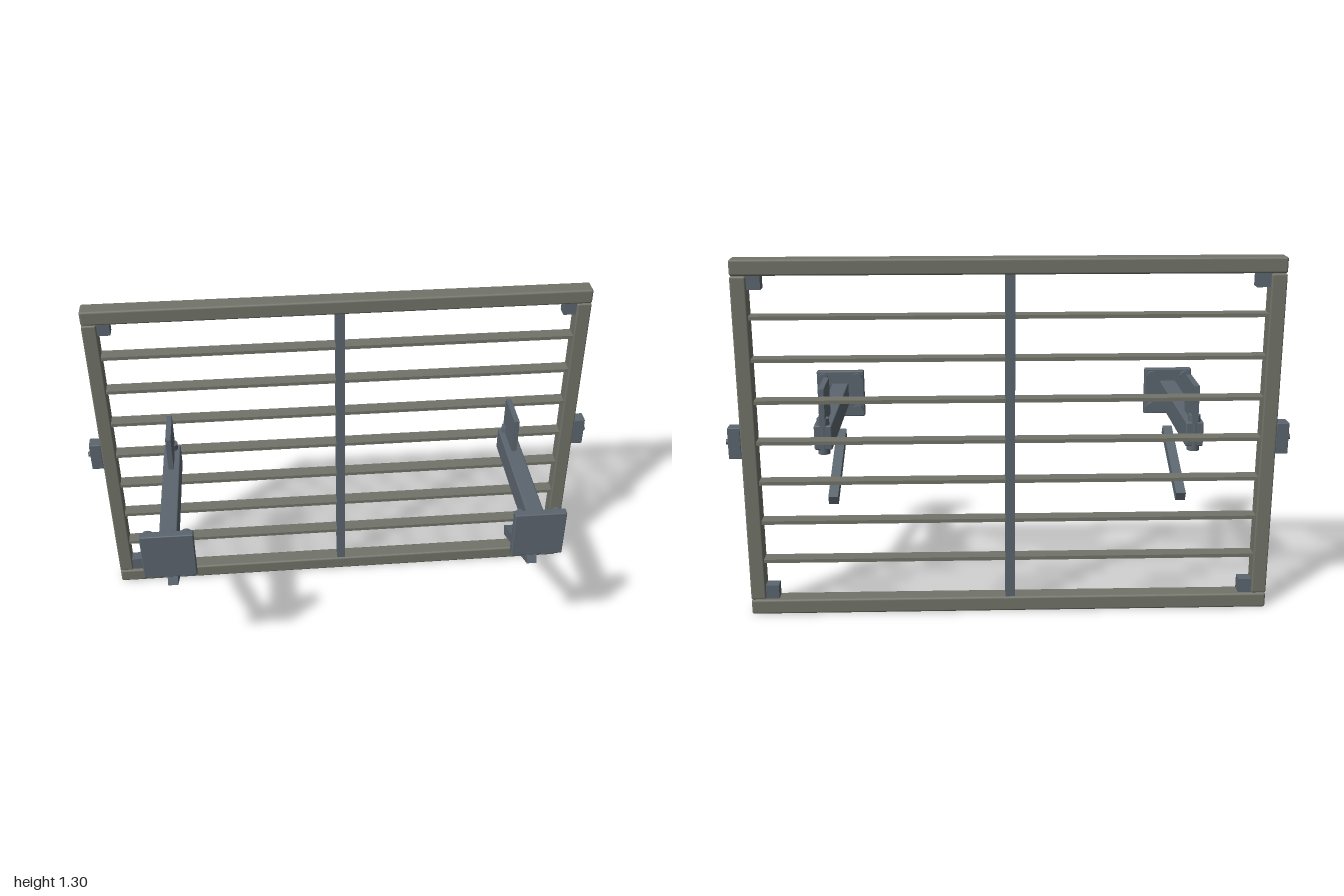
import * as THREE from 'three';
import { RoundedBoxGeometry } from 'three/addons/geometries/RoundedBoxGeometry.js';

export function createModel() {
  const model = new THREE.Group();
  model.name = 'louverScreen';
  const olive = new THREE.MeshStandardMaterial({ color: 0x72746a });
  olive.name = 'olive grey';
  const steel = new THREE.MeshStandardMaterial({ color: 0x5c6670 });
  steel.name = 'blue grey steel';

  const add = (parent, name, geometry, material, x, y, z) => {
    const mesh = new THREE.Mesh(geometry, material);
    mesh.name = name;
    mesh.position.set(x, y, z);
    parent.add(mesh);
    return mesh;
  };
  const box = (parent, name, mat, size, pos, radius = 0) => add(parent, name,
    radius ? new RoundedBoxGeometry(...size, 2, radius) : new THREE.BoxGeometry(...size), mat, ...pos);

  const Z = -0.307; // plane of the frame
  const MID = 0.655; // height of the arms

  // Frame rails, stiles and central mullion
  const frame = new THREE.Group();
  frame.name = 'frame';
  model.add(frame);
  box(frame, 'bottomRail', olive, [1.89, 0.056, 0.067], [0, 0.029, Z], 0.008);
  box(frame, 'topRail', olive, [1.89, 0.056, 0.067], [0, 1.275, Z], 0.008);
  box(frame, 'mullion', steel, [0.034, 1.192, 0.055], [0, 0.652, Z]);

  // Horizontal slats
  for (let i = 0; i < 7; i++) {
    box(frame, 'slat', olive, [1.8, 0.013, 0.052], [0, 0.207 + i * 0.149, Z]);
  }

  for (const s of [-1, 1]) {
    box(frame, 'stile', olive, [0.054, 1.186, 0.065], [s * 0.918, 0.652, Z], 0.006);
    // Corner blocks
    for (const y of [0.084, 1.224]) {
      box(frame, 'cornerBlock', steel, [0.052, 0.052, 0.045], [s * 0.87, y, Z]);
    }
    // Side bracket with its pin
    box(frame, 'sideBracket', steel, [0.045, 0.114, 0.052], [s * 0.9675, MID, Z], 0.003);
    const pin = add(frame, 'sidePin', new THREE.CylinderGeometry(0.01, 0.01, 0.03, 20),
      steel, s * 0.985, MID, Z);
    pin.rotation.z = Math.PI / 2;

    // Wall arm with mounting plate, fin and clamp bolt
    const arm = new THREE.Group();
    arm.name = s > 0 ? 'leftArm' : 'rightArm';
    arm.position.x = s * 0.665;
    model.add(arm);
    box(arm, 'armBeam', steel, [0.064, 0.09, 0.59], [0, MID, 0.02], 0.005);
    box(arm, 'mountingPlate', steel, [0.188, 0.188, 0.031], [0, MID, 0.326], 0.004);
    box(arm, 'fin', steel, [0.02, 0.14, 0.165], [0, 0.766, -0.1975]);
    for (const x of [-0.068, 0.068]) {
      for (const y of [-0.066, 0.066]) {
        const bolt = add(arm, 'plateBolt', new THREE.CylinderGeometry(0.021, 0.021, 0.022, 24),
          steel, x, MID + y, 0.305);
        bolt.rotation.x = Math.PI / 2;
      }
    }
    add(arm, 'clampBolt', new THREE.CylinderGeometry(0.022, 0.022, 0.132, 24), steel, 0, MID + 0.003, -0.254);

    // Sloping brace under the arm
    const brace = box(arm, 'brace', steel, [0.037, 0.038, 0.395], [0, 0.419, 0.112]);
    brace.rotation.x = -0.42;
  }
  return model;
}
